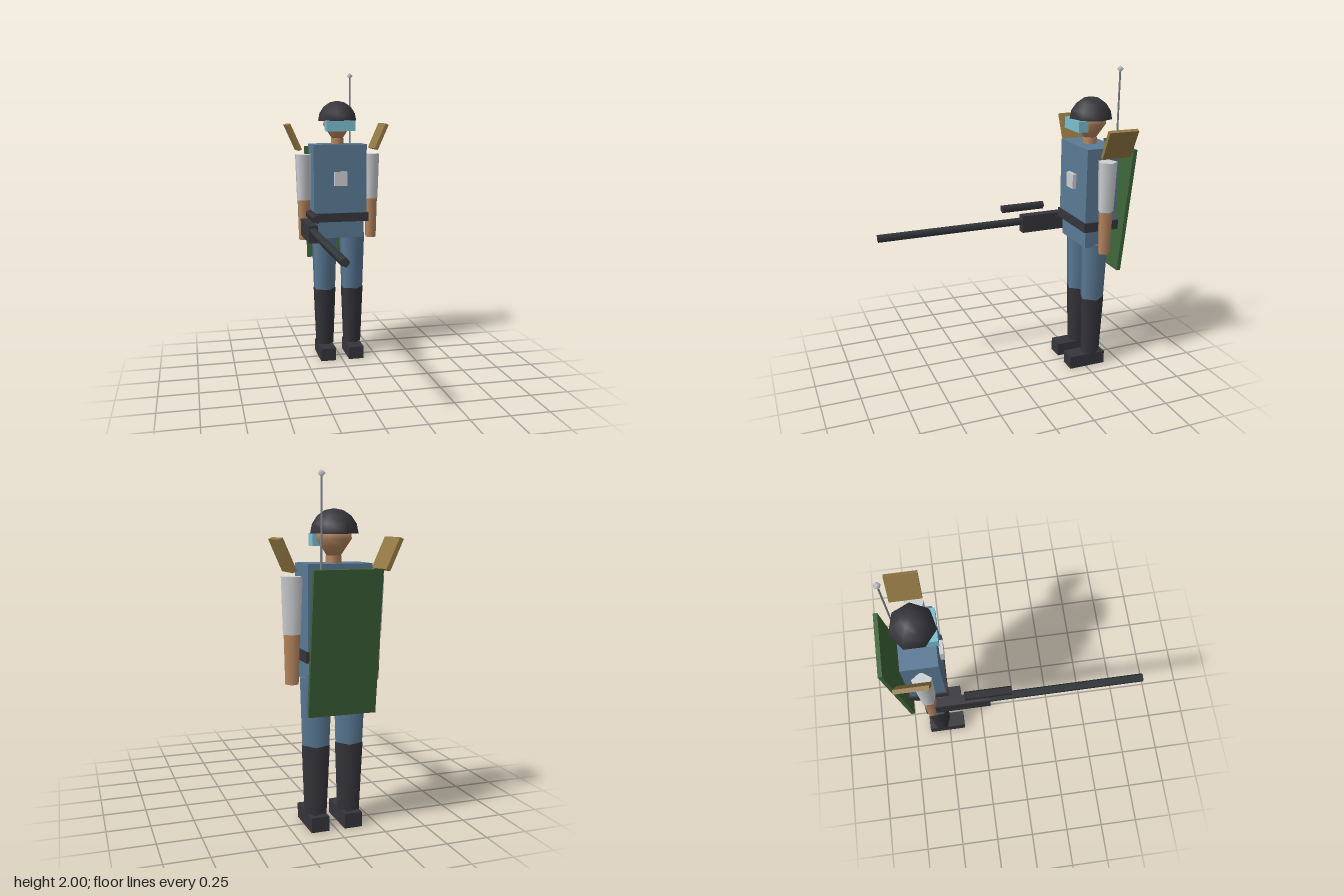
import * as THREE from 'three';

const mat = (name, color, extra = {}) => {
  const m = new THREE.MeshStandardMaterial({ color, ...extra });
  m.name = name;
  return m;
};

export function createModel() {
  const model = new THREE.Group();
  model.name = 'soldier';

  const blue = mat('uniformBlue', 0x5b7a96);
  const dark = mat('leatherDark', 0x36353b);
  const gunmetal = mat('gunmetal', 0x343a3e);
  const white = mat('sleeveWhite', 0xcdd0d3);
  const skin = mat('skin', 0xb88860);
  const visorTeal = mat('visorTeal', 0x7cc0d2);
  const green = mat('panelGreen', 0x3d6438);
  const tan = mat('plateTan', 0x957a45);
  const steel = mat('steel', 0x85888c);

  const add = (name, geometry, material, x, y, z) => {
    const mesh = new THREE.Mesh(geometry, material);
    mesh.name = name;
    mesh.position.set(x, y, z);
    model.add(mesh);
    return mesh;
  };
  // Box given by its limits on each axis
  const box = (name, material, [x0, x1], [y0, y1], [z0, z1]) =>
    add(name, new THREE.BoxGeometry(x1 - x0, y1 - y0, z1 - z0), material,
      (x0 + x1) / 2, (y0 + y1) / 2, (z0 + z1) / 2);
  // Upright tapered prism with one corner towards +x
  const limb = (name, material, x, z, y0, y1, rBottom, rTop, sides = 5) =>
    add(name, new THREE.CylinderGeometry(rTop, rBottom, y1 - y0, sides).rotateY(Math.PI / 2),
      material, x, (y0 + y1) / 2, z);
  // Prism lying along z
  const rod = (name, material, x, y, z0, z1, r) =>
    add(name, new THREE.CylinderGeometry(r, r, z1 - z0, 5).rotateY(Math.PI / 2).rotateX(Math.PI / 2),
      material, x, y, (z0 + z1) / 2);

  const cz = -0.55;

  // Body
  box('torso', blue, [-0.185, 0.185], [0.98, 1.51], [-0.66, -0.442]);
  box('belt', dark, [-0.196, 0.196], [0.98, 1.04], [-0.67, -0.432]);
  box('pelvis', blue, [-0.167, 0.167], [0.865, 0.99], [-0.647, -0.455]);
  box('chestPlate', white, [-0.045, 0.045], [1.23, 1.325], [-0.441, -0.416]);

  for (const [side, s] of [['left', 1], ['right', -1]]) {
    // Legs and boots
    limb(side + 'Thigh', blue, s * 0.1, cz, 0.48, 0.88, 0.08, 0.094);
    limb(side + 'Boot', dark, s * 0.1, cz, 0.08, 0.49, 0.066, 0.083);
    box(side + 'Foot', dark, [s * 0.1 - 0.053, s * 0.1 + 0.053], [0, 0.087], [-0.638, -0.387]);

    // Arms
    limb(side + 'Sleeve', white, s * 0.24, cz, 1.125, 1.44, 0.051, 0.062);
    limb(side + 'Forearm', skin, s * 0.24, cz, 0.847, 1.125, 0.039, 0.047);

    // Tilted shoulder plates
    add(side + 'ShoulderPlate', new THREE.BoxGeometry(0.025, 0.19, 0.195), tan,
      s * 0.305, 1.558, -0.592).rotation.z = -s * 0.42;
  }

  // Neck, head and helmet
  limb('neck', skin, 0, cz, 1.49, 1.55, 0.045, 0.045, 7);
  const headProfile = [[0, 1.535], [0.04, 1.55], [0.07, 1.595], [0.1, 1.64], [0.095, 1.68], [0, 1.74]]
    .map(([r, y]) => new THREE.Vector2(r, y));
  add('head', new THREE.LatheGeometry(headProfile, 7).rotateY(Math.PI / 2), skin, 0, 0, cz);
  box('visor', visorTeal, [-0.099, 0.099], [1.6, 1.67], [-0.485, -0.42]);
  const dome = new THREE.SphereGeometry(0.136, 7, 4, 0, Math.PI * 2, 0, Math.PI / 2).rotateY(Math.PI);
  add('helmet', dome, dark, 0, 1.668, cz);
  add('helmetBase', new THREE.CircleGeometry(0.136, 7).rotateX(Math.PI / 2), dark, 0, 1.668, cz);

  // Leaning back panel
  add('backPanel', new THREE.BoxGeometry(0.39, 0.8, 0.026), green, 0, 1.088, -0.732)
    .rotation.x = -0.1;

  // Antenna
  limb('antenna', steel, 0.118, -0.678, 1.45, 1.98, 0.006, 0.006);
  add('antennaTip', new THREE.SphereGeometry(0.022, 5, 2).rotateY(Math.PI), white, 0.118, 1.978, -0.678);

  // Rifle held in the right hand
  box('rifleBody', dark, [-0.266, -0.206], [0.884, 1.0], [-0.583, -0.18]);
  rod('rifleBarrel', gunmetal, -0.236, 0.961, -0.2, 0.79, 0.027);
  rod('rifleScope', dark, -0.236, 1.06, -0.334, -0.042, 0.028);

  return model;
}
